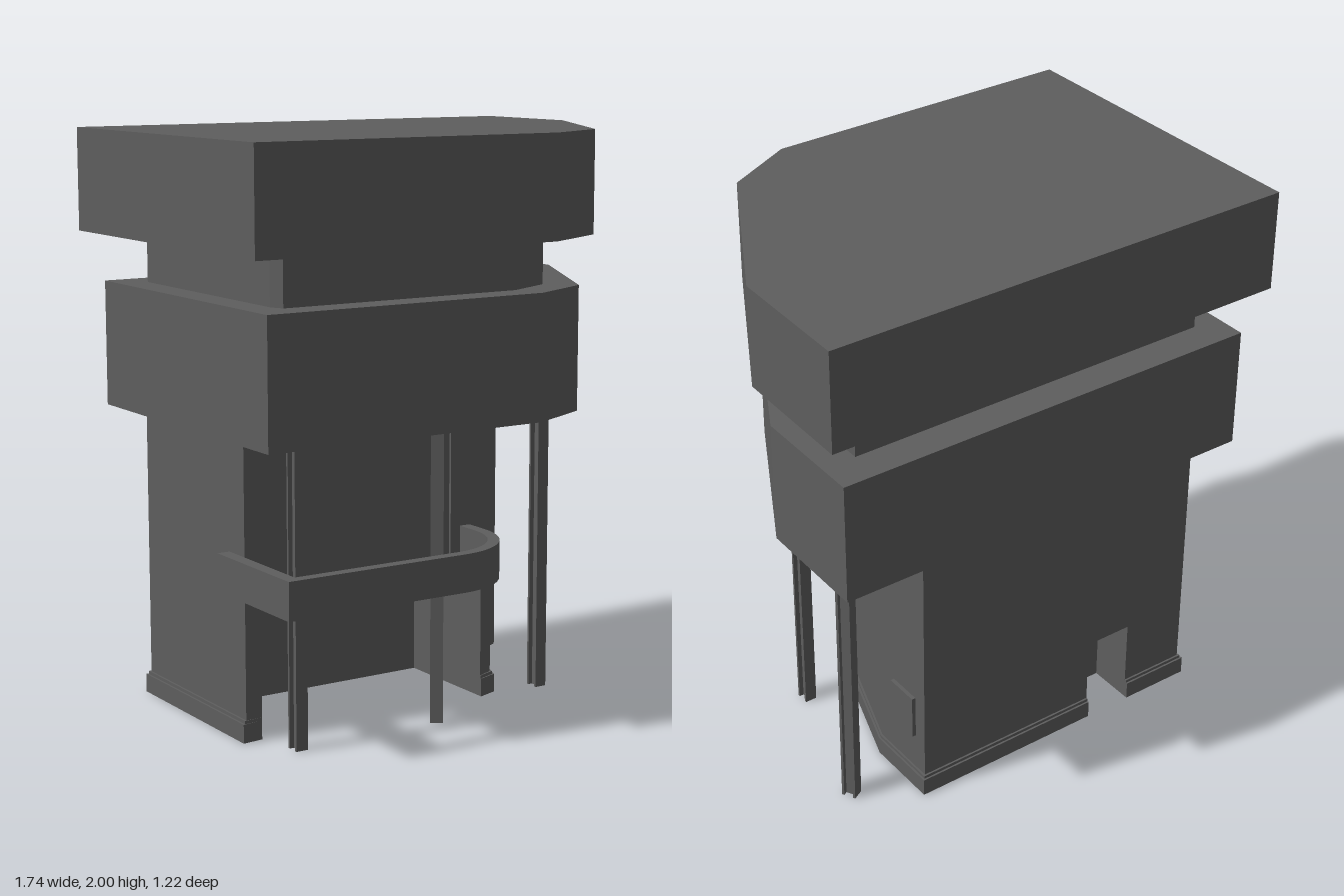
import * as THREE from 'three';

const material = new THREE.MeshStandardMaterial({ color: 0x5e5e5e });

// Shape in plan: points are [x, z]
function planShape(points) {
  return new THREE.Shape(points.map(([x, z]) => new THREE.Vector2(x, -z)));
}

// Upright prism of a plan shape between two heights
function slab(name, shape, y0, y1) {
  const geometry = new THREE.ExtrudeGeometry(shape, { depth: y1 - y0, bevelEnabled: false, curveSegments: 16 });
  geometry.rotateX(-Math.PI / 2);
  const mesh = new THREE.Mesh(geometry, material);
  mesh.name = name;
  mesh.position.y = y0;
  return mesh;
}

// Body outline: back and right side with the angled corner, then a given front edge.
// grow widens it for the plinth, notch cuts the low rear opening.
function bodyPlan(front, grow = 0, notch = false) {
  const back = -0.463 - grow;
  const rear = notch ? [[-0.45, back], [-0.45, -0.3], [-0.27, -0.3], [-0.27, back]] : [];
  return planShape([
    [-0.7 - grow, back], ...rear, [0.447 + grow, back], [0.447 + grow, -0.2],
    [0.31 + grow, 0.195 + grow / 2], [0.25, 0.22 + grow / 2], ...front, [-0.7 - grow, 0.22 + grow / 2],
  ]);
}

// H-section column
function column(x, z, turn) {
  const w = 0.022, d = 0.026, flange = 0.009, web = 0.006;
  const shape = planShape([
    [-w, -d], [w, -d], [w, -d + flange], [web, -d + flange], [web, d - flange], [w, d - flange],
    [w, d], [-w, d], [-w, d - flange], [-web, d - flange], [-web, -d + flange], [-w, -d + flange],
  ]);
  const mesh = slab('column', shape, 0, 1.045);
  mesh.position.set(x, 0, z);
  mesh.rotation.y = turn;
  return mesh;
}

export function createModel() {
  const group = new THREE.Group();

  // Stacked top volumes with the cut front corner
  group.add(slab('roof', planShape([
    [-0.872, -0.61], [0.872, -0.61], [0.862, -0.14], [0.525, 0.477], [0.27, 0.61], [-0.872, 0.61],
  ]), 1.645, 2));
  group.add(slab('neck', planShape([
    [-0.7, -0.436], [0.68, -0.436], [0.675, -0.1], [0.4, 0.36], [0.22, 0.449], [-0.68, 0.449], [-0.7, 0.4],
  ]), 1.465, 1.65));
  group.add(slab('upperFloor', planShape([
    [-0.803, -0.558], [0.803, -0.558], [0.798, -0.13], [0.49, 0.445], [0.25, 0.56], [-0.803, 0.56],
  ]), 1.037, 1.472));

  // Body in layers: open front bay and rear notch below, shallow panel above
  const bay = [[0.25, -0.2], [-0.64, -0.2], [-0.64, 0.22]];
  const panel = [[0.12, 0.22], [0.12, 0.21], [-0.58, 0.21], [-0.58, 0.22]];
  const body = new THREE.Group();
  body.name = 'body';
  body.add(
    slab('plinth', bodyPlan(bay, 0.014, true), 0, 0.065),
    slab('plinthLip', bodyPlan(bay, 0.007, true), 0.065, 0.076),
    slab('lowerWall', bodyPlan(bay, 0, true), 0.076, 0.32),
    slab('bayWall', bodyPlan(bay), 0.32, 0.445),
    slab('panelWall', bodyPlan(panel), 0.445, 0.985),
    slab('topWall', bodyPlan([]), 0.985, 1.045),
  );
  group.add(body);

  // Small cover on the side wall
  const cover = new THREE.Mesh(new THREE.BoxGeometry(0.03, 0.165, 0.13), material);
  cover.name = 'sideCover';
  cover.position.set(0.446, 0.3, -0.345);
  group.add(cover);

  // Balcony rail: left end runs back along the side wall, right corner is round
  const rail = new THREE.Shape();
  rail.moveTo(-0.745, -0.12);
  rail.lineTo(-0.745, -0.58);
  rail.lineTo(-0.07, -0.58);
  rail.absarc(-0.07, -0.31, 0.27, -Math.PI / 2, 0, false);
  rail.lineTo(0.2, -0.2);
  rail.lineTo(0.16, -0.2);
  rail.lineTo(0.16, -0.31);
  rail.absarc(-0.07, -0.31, 0.23, 0, -Math.PI / 2, true);
  rail.lineTo(-0.7, -0.54);
  rail.lineTo(-0.7, -0.12);
  group.add(slab('balconyRail', rail, 0.5, 0.63));

  // Columns under the overhang
  for (const [x, z, turn] of [[-0.59, 0.37, 0], [-0.04, 0.37, -0.6], [0.502, 0.215, 0], [0.66, -0.32, 0.5]]) {
    group.add(column(x, z, turn));
  }
  return group;
}
